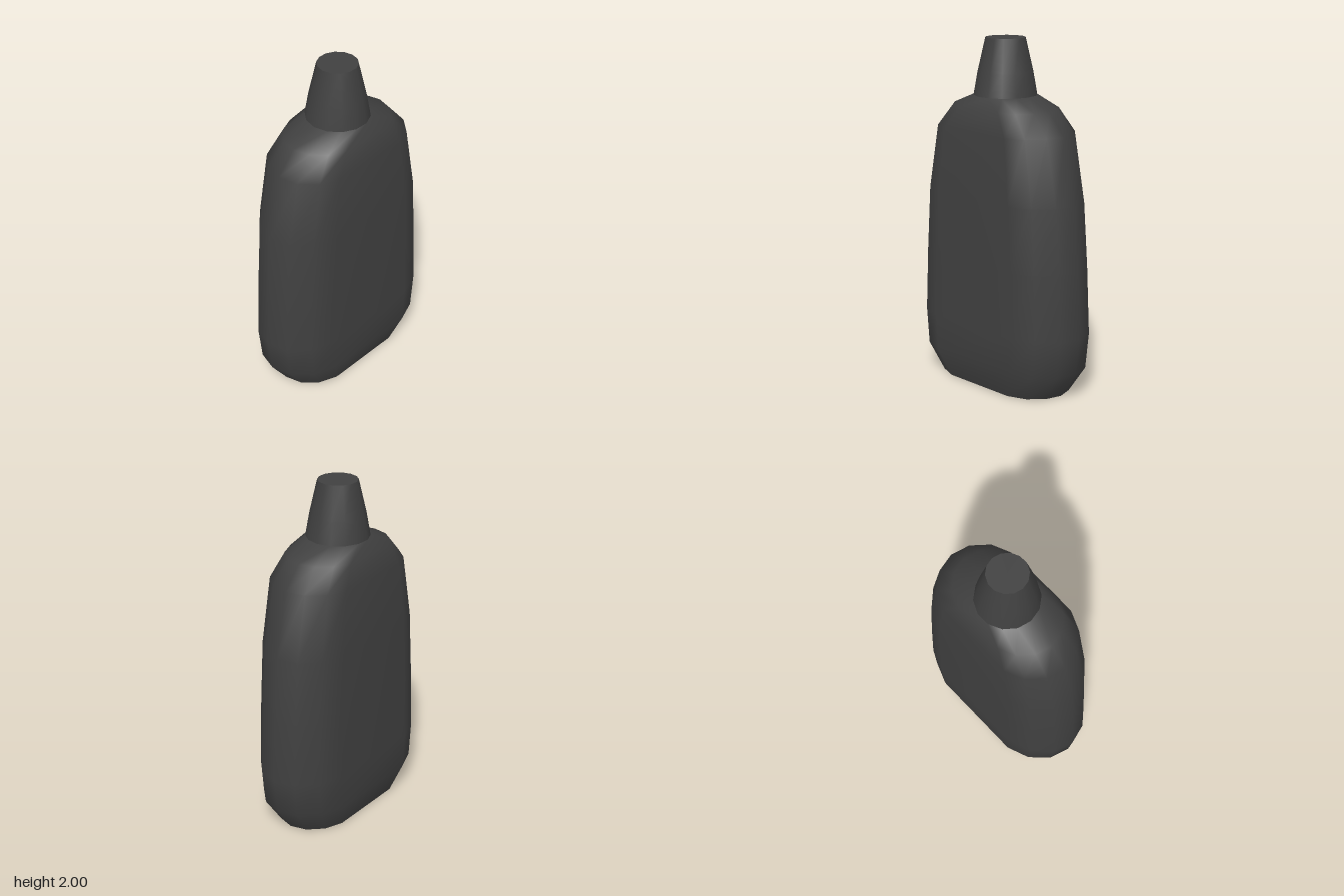
import * as THREE from 'three';

const SIDES = 14;
// One quarter of the outline as fractions of half width and half depth: flattened oval and circle
const OVAL = [[1, 0], [0.94, 0.44], [0.767, 0.81], [0.526, 1]];
const ROUND = [0, 1, 2, 3].map((k) => {
  const a = (k * 2 * Math.PI) / SIDES;
  return [Math.cos(a), Math.sin(a)];
});

// Closed ring of 14 points; t blends from the oval (0) to the circle (1)
function ring([y, halfX, halfZ, t]) {
  const quarter = OVAL.map(([x, z], k) => [
    halfX * THREE.MathUtils.lerp(x, ROUND[k][0], t),
    halfZ * THREE.MathUtils.lerp(z, ROUND[k][1], t),
  ]);
  const half = [...quarter, ...quarter.slice(1).reverse().map(([x, z]) => [-x, z])];
  const full = [...half, [-quarter[0][0], 0], ...half.slice(1).reverse().map(([x, z]) => [x, -z])];
  return full.map(([x, z]) => new THREE.Vector3(x, y, z));
}

function buildMesh(name, points, index, material) {
  const geometry = new THREE.BufferGeometry().setFromPoints(points);
  geometry.setIndex(index);
  geometry.computeVertexNormals();
  const mesh = new THREE.Mesh(geometry, material);
  mesh.name = name;
  return mesh;
}

// Smooth wall through a stack of sections
function wall(name, sections, material) {
  const index = [];
  for (let i = 0; i < sections.length - 1; i++) {
    for (let j = 0; j < SIDES; j++) {
      const a = i * SIDES + j;
      const b = i * SIDES + ((j + 1) % SIDES);
      index.push(a, a + SIDES, b, a + SIDES, b + SIDES, b);
    }
  }
  return buildMesh(name, sections.flatMap(ring), index, material);
}

// Flat lid on a section
function cap(name, section, up, material) {
  const points = [...ring(section), new THREE.Vector3(0, section[0], 0)];
  const index = [];
  for (let j = 0; j < SIDES; j++) {
    const next = (j + 1) % SIDES;
    index.push(SIDES, up ? next : j, up ? j : next);
  }
  return buildMesh(name, points, index, material);
}

export function createModel() {
  const group = new THREE.Group();
  group.name = 'bottle';
  const material = new THREE.MeshStandardMaterial({ color: 0x404040 });

  // Sections: height, half width, half depth, roundness
  const body = [
    [0, 0.445, 0.217, 0],
    [0.16, 0.555, 0.27, 0],
    [0.37, 0.58, 0.27, 0],
    [0.75, 0.56, 0.266, 0],
    [1.12, 0.53, 0.262, 0],
    [1.49, 0.45, 0.248, 0],
    [1.615, 0.34, 0.215, 0.25],
    [1.68, 0.18, 0.18, 1],
  ];
  const neck = [
    [1.68, 0.18, 0.18, 1],
    [1.81, 0.157, 0.157, 1],
    [2, 0.113, 0.113, 1],
  ];

  group.add(
    wall('body', body, material),
    wall('neck', neck, material),
    cap('base', body[0], false, material),
    cap('mouth', neck[2], true, material),
  );
  return group;
}
